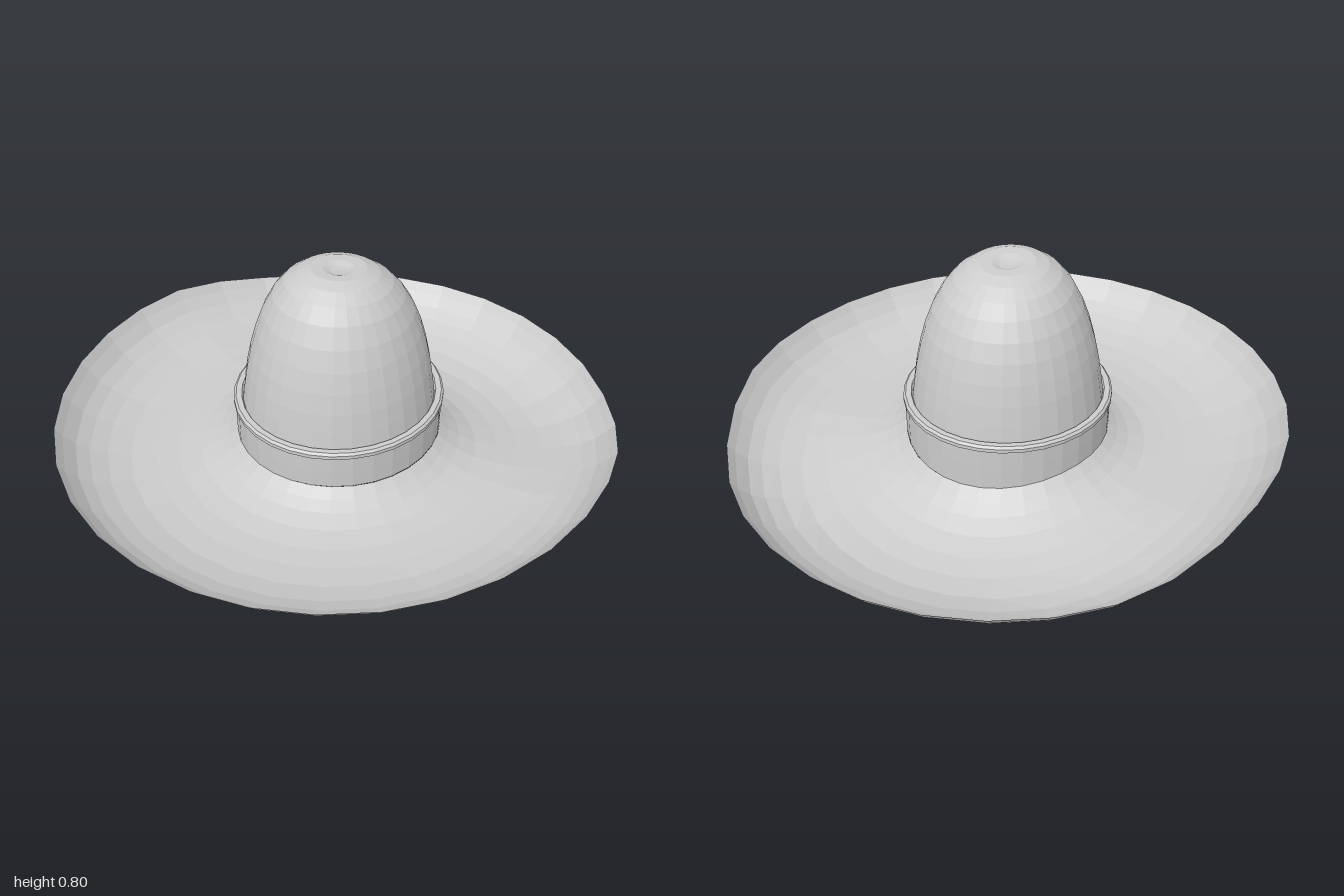
import * as THREE from 'three';

const SEGMENTS = 32;
const X_SCALE = 0.965; // the hat is slightly narrower than it is long

const material = new THREE.MeshStandardMaterial({
  color: 0xcccccc, flatShading: true, side: THREE.DoubleSide,
});

// Sag of the brim towards the back
const backSag = (z) => 0.087 * THREE.MathUtils.smoothstep(-z, 0.1, 0.75);

// Lathe a profile of [radius, height], then bend it with a height rule
function lathePart(name, profile, heightRule) {
  const points = profile.map(([r, y]) => new THREE.Vector2(r, y));
  const geometry = new THREE.LatheGeometry(points, SEGMENTS);
  const p = geometry.attributes.position;
  for (let i = 0; i < p.count; i++) {
    const x = p.getX(i) * X_SCALE, y = p.getY(i), z = p.getZ(i);
    p.setXYZ(i, x, heightRule(x, y, z), z);
  }
  geometry.computeVertexNormals();
  const mesh = new THREE.Mesh(geometry, material);
  mesh.name = name;
  return mesh;
}

export function createModel() {
  const hat = new THREE.Group();
  hat.name = 'wideBrimmedHat';

  // Upturned brim, from the rim in to the foot of the band
  hat.add(lathePart('brim', [
    [1, 0.246], [0.975, 0.213], [0.935, 0.172], [0.89, 0.143], [0.83, 0.117], [0.75, 0.096],
    [0.66, 0.087], [0.58, 0.087], [0.5, 0.096], [0.44, 0.117], [0.4, 0.14], [0.365, 0.168],
  ], (x, y, z) => y - backSag(z) - 0.01 * x * Math.abs(x)));

  // Band round the crown: its foot follows the brim, its lip is level
  hat.add(lathePart('band', [
    [0.365, 0.168], [0.366, 0.23], [0.366, 0.285], [0.373, 0.29],
    [0.373, 0.303], [0.365, 0.311], [0.345, 0.311], [0.34, 0.3],
  ], (x, y, z) => (y < 0.2 ? y - backSag(z) : y)));

  // Domed crown with a shallow dimple, its top tipped slightly back
  hat.add(lathePart('crown', [
    [0.34, 0.3], [0.332, 0.36], [0.321, 0.43], [0.306, 0.5], [0.286, 0.57], [0.26, 0.637],
    [0.225, 0.7], [0.185, 0.747], [0.14, 0.778], [0.095, 0.794], [0.055, 0.793],
    [0.03, 0.784], [0, 0.781],
  ], (x, y, z) => y + 0.07 * z * THREE.MathUtils.smoothstep(y, 0.55, 0.8)));

  return hat;
}
